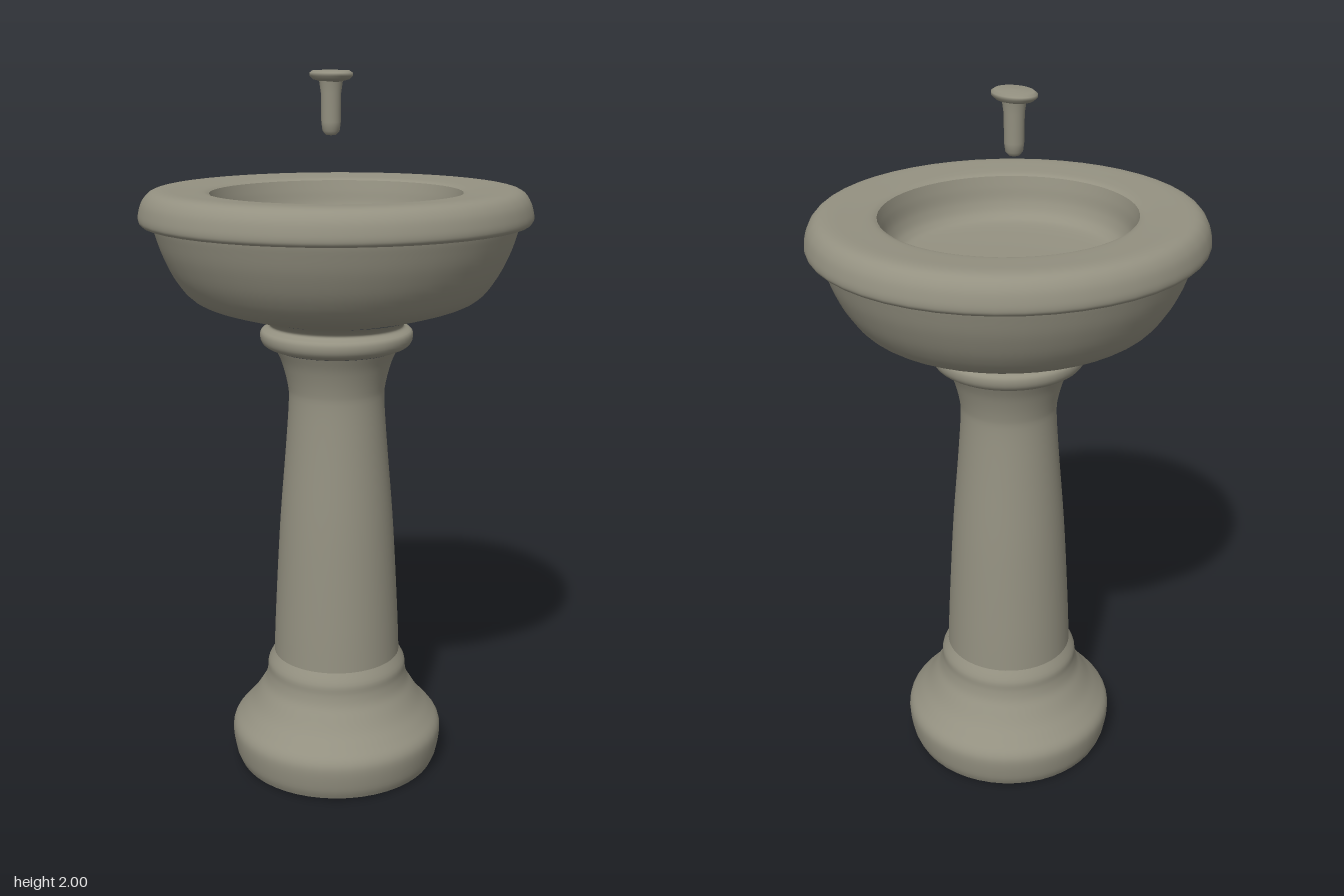
import * as THREE from 'three';

const stone = new THREE.MeshStandardMaterial({ color: 0x949181 });
stone.name = 'weathered stone';

// Revolved part; points are [radius, height], listed so the outside faces out
function turned(name, points, smooth = 0) {
  let profile = points.map(([r, y]) => new THREE.Vector2(r, y));
  if (smooth) profile = new THREE.SplineCurve(profile).getPoints(smooth);
  profile.forEach((p) => { p.x = Math.max(p.x, 0); });
  const mesh = new THREE.Mesh(new THREE.LatheGeometry(profile, 48), stone);
  mesh.name = name;
  return mesh;
}

export function createModel() {
  const model = new THREE.Group();
  model.name = 'pedestalFountain';

  // Pedestal: underside, rounded plinth, moulding and tapering shaft
  const pedestal = new THREE.Group();
  pedestal.name = 'pedestal';
  pedestal.add(
    turned('plinthUnderside', [[0, 0], [0.29, 0.005]]),
    turned('plinth', [
      [0.29, 0.005], [0.302, 0.035], [0.31, 0.09], [0.304, 0.122], [0.28, 0.152],
      [0.252, 0.185], [0.228, 0.222], [0.212, 0.25], [0.204, 0.28], [0.201, 0.31],
      [0.184, 0.342],
    ], 40),
    turned('shaft', [
      [0.184, 0.342], [0.178, 0.48], [0.163, 0.74], [0.144, 0.97], [0.135, 1.1],
      [0.138, 1.15], [0.153, 1.21], [0.17, 1.25],
    ], 30),
    turned('collar', [
      [0.168, 1.25], [0.2, 1.262], [0.212, 1.28], [0.21, 1.302], [0.19, 1.312],
      [0.188, 1.322], [0.205, 1.335], [0.23, 1.345],
    ], 24),
  );
  model.add(pedestal);

  // Basin: bowl below, overhanging rim, shallow dish inside
  const basin = new THREE.Group();
  basin.name = 'basin';
  basin.add(
    turned('bowl', [
      [0.2, 1.338], [0.3, 1.363], [0.39, 1.396], [0.44, 1.45], [0.476, 1.52],
      [0.496, 1.58], [0.502, 1.605],
    ], 28),
    turned('rimUnderside', [[0.495, 1.602], [0.53, 1.602]]),
    turned('rim', [
      [0.53, 1.602], [0.537, 1.612], [0.536, 1.632], [0.526, 1.662], [0.506, 1.684],
      [0.475, 1.692], [0.42, 1.69], [0.365, 1.686], [0.346, 1.68],
    ], 36),
    turned('dish', [
      [0.346, 1.68], [0.338, 1.65], [0.328, 1.61], [0.308, 1.578], [0.27, 1.562],
      [0.15, 1.555], [0, 1.553],
    ], 36),
  );
  basin.scale.z = 0.974;
  model.add(basin);

  // Spout: rounded stem hanging free above the dish, with an oval cap
  const spout = new THREE.Group();
  spout.name = 'spout';
  const cap = turned('spoutCap', [
    [0.02, 1.968], [0.044, 1.975], [0.053, 1.984], [0.053, 1.992], [0.045, 1.998], [0, 2],
  ]);
  cap.scale.z = 1.32;
  spout.add(
    turned('spoutStem', [
      [0, 1.83], [0.014, 1.832], [0.023, 1.842], [0.026, 1.865], [0.027, 1.94], [0.032, 1.975],
    ]),
    cap,
  );
  spout.position.x = -0.017;
  model.add(spout);

  return model;
}
